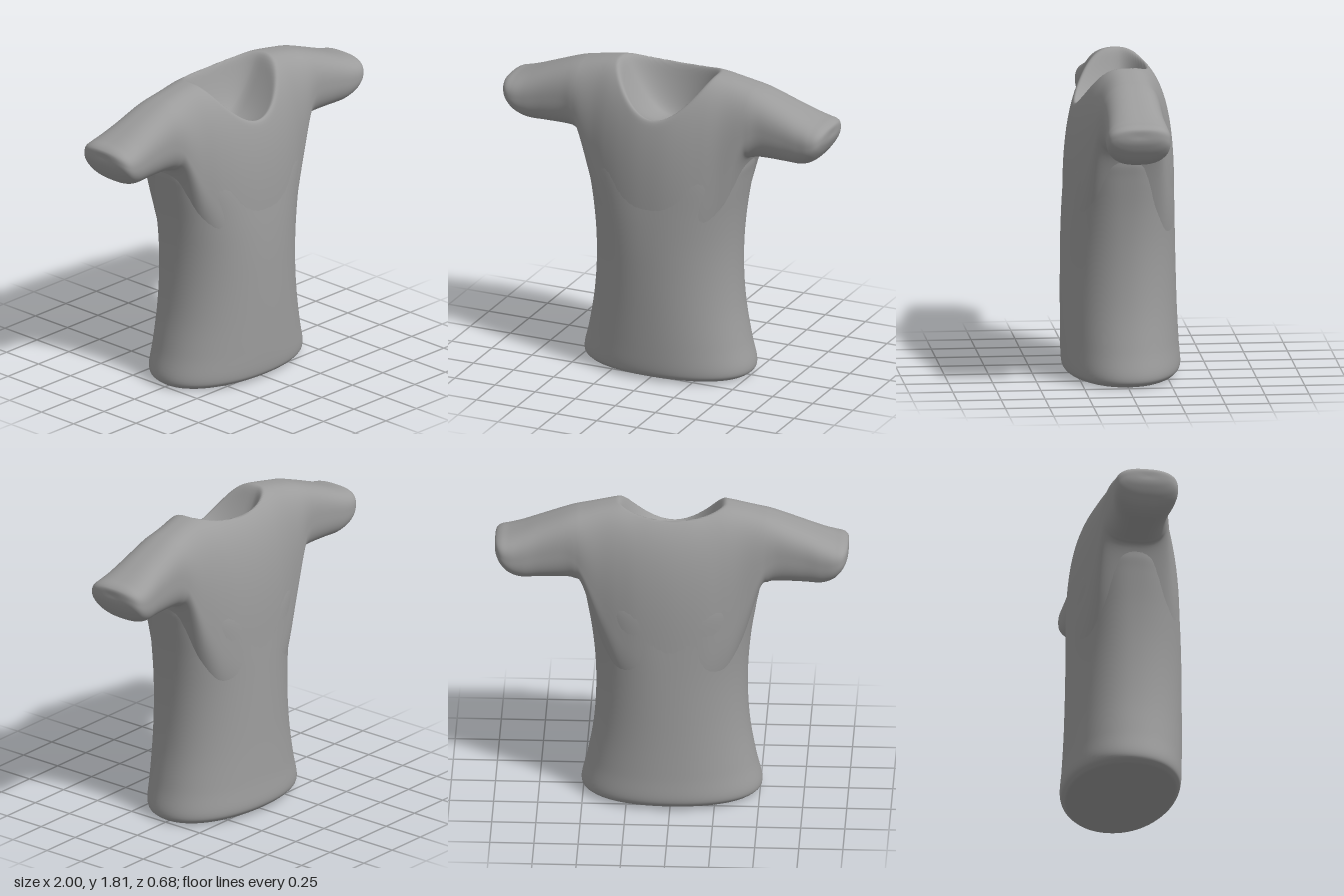
import * as THREE from 'three';

const material = new THREE.MeshStandardMaterial({ color: 0x9c9c9c, side: THREE.DoubleSide });

// Smoothly resample a table of cross-section rows
function smoothRows(rows, steps) {
  const spline = new THREE.CubicInterpolant(rows.map((_, i) => i), rows.flat(), rows[0].length);
  const count = (rows.length - 1) * steps;
  return Array.from({ length: count + 1 }, (_, i) => Array.from(spline.evaluate(i / steps)));
}

// Skin a list of rows; point(row, cos, sin) places one vertex of a ring
function loft(name, rows, sides, point) {
  const positions = [], index = [];
  rows.forEach((row, i) => {
    for (let j = 0; j < sides; j++) {
      const a = (j / sides) * Math.PI * 2;
      positions.push(...point(row, Math.cos(a), Math.sin(a)));
      if (i === rows.length - 1) continue;
      const p = i * sides + j, q = i * sides + ((j + 1) % sides);
      index.push(p, q, q + sides, p, q + sides, p + sides);
    }
  });
  const geometry = new THREE.BufferGeometry();
  geometry.setAttribute('position', new THREE.Float32BufferAttribute(positions, 3));
  geometry.setIndex(index);
  geometry.computeVertexNormals();
  const mesh = new THREE.Mesh(geometry, material);
  mesh.name = name;
  return mesh;
}

// Superellipse factor
const round = (c, n) => Math.sign(c) * Math.pow(Math.abs(c), 2 / n);

// Height of the scooped neck opening, low at the front and high at the back
function neckHeight(x, z) {
  const t = z > 0 ? 0.07 * (z / 0.25) ** 2 : 0.3 * (z / 0.15) ** 2;
  return 1.49 + t + 0.3 * (x / 0.28) ** 2;
}

function smoothMin(a, b, k) {
  const h = Math.max(k - Math.abs(a - b), 0) / k;
  return Math.min(a, b) - h * h * k * 0.25;
}

export function createModel() {
  const group = new THREE.Group();
  group.name = 'shirt';

  // Torso rows: y, half width, front depth, back depth, squareness
  const torso = smoothRows([
    [0.025, 0, 0, 0, 2.1],
    [0.022, 0.22, 0.15, 0.15, 2.1],
    [0.002, 0.43, 0.28, 0.28, 2.1],
    [0.014, 0.49, 0.318, 0.318, 2.1],
    [0.06, 0.512, 0.333, 0.337, 2.1],
    [0.2, 0.48, 0.338, 0.328, 2.1],
    [0.4, 0.445, 0.34, 0.318, 2.1],
    [0.6, 0.43, 0.34, 0.312, 2.1],
    [0.8, 0.432, 0.337, 0.307, 2.15],
    [1.0, 0.45, 0.327, 0.302, 2.3],
    [1.2, 0.482, 0.308, 0.294, 2.5],
    [1.3, 0.5, 0.285, 0.275, 2.5],
    [1.37, 0.49, 0.24, 0.24, 2.5],
    [1.42, 0.35, 0.18, 0.18, 2.5],
    [1.42, 0, 0, 0, 2.5],
  ], 6);
  group.add(loft('torso', torso, 80, ([y, w, front, back, n], c, s) => {
    const z = (c > 0 ? front : back) * round(c, n);
    // The hem rises a little at the front and back
    const lift = 0.02 * (z / 0.33) ** 2 * Math.max(0, 1 - y / 0.2);
    return [w * round(s, n), y + lift, z];
  }));

  // Shoulder and sleeve rows: x, centre y, rise, drop, half depth, centre z
  const half = [
    [0, 1.0, 0.82, 0.5, 0.313, 0.011],
    [0.1, 1.0, 0.82, 0.5, 0.308, 0.011],
    [0.2, 1.02, 0.795, 0.48, 0.291, 0.009],
    [0.3, 1.1, 0.713, 0.42, 0.26, 0.006],
    [0.4, 1.26, 0.537, 0.3, 0.222, 0],
    [0.5, 1.45, 0.325, 0.14, 0.193, -0.005],
    [0.55, 1.52, 0.243, 0.165, 0.18, -0.007],
    [0.62, 1.55, 0.19, 0.19, 0.17, -0.01],
    [0.75, 1.53, 0.16, 0.17, 0.17, -0.012],
    [0.85, 1.51, 0.14, 0.147, 0.178, -0.015],
    [0.92, 1.51, 0.115, 0.115, 0.182, -0.015],
    [0.965, 1.525, 0.088, 0.078, 0.17, -0.015],
    [0.99, 1.545, 0.055, 0.052, 0.135, -0.015],
    [1.0, 1.555, 0.03, 0.03, 0.08, -0.015],
    [1.0, 1.555, 0, 0, 0, -0.015],
  ];
  const mirrored = half.slice(1).reverse().map(([x, ...rest]) => [-x, ...rest]);
  const yoke = smoothRows([...mirrored, ...half], 9);
  group.add(loft('shouldersAndSleeves', yoke, 180, ([x, cy, up, down, depth, cz], c, s) => {
    // The back is a little squarer than the front
    const n = s > 0 ? 2.45 : 2.75;
    const z = cz + depth * round(s, n);
    const y = cy + (c > 0 ? up : down) * round(c, n);
    // Press the neck opening into the top
    return [x, c > 0 ? smoothMin(y, neckHeight(x, z), 0.05) : y, z];
  }));

  return group;
}
